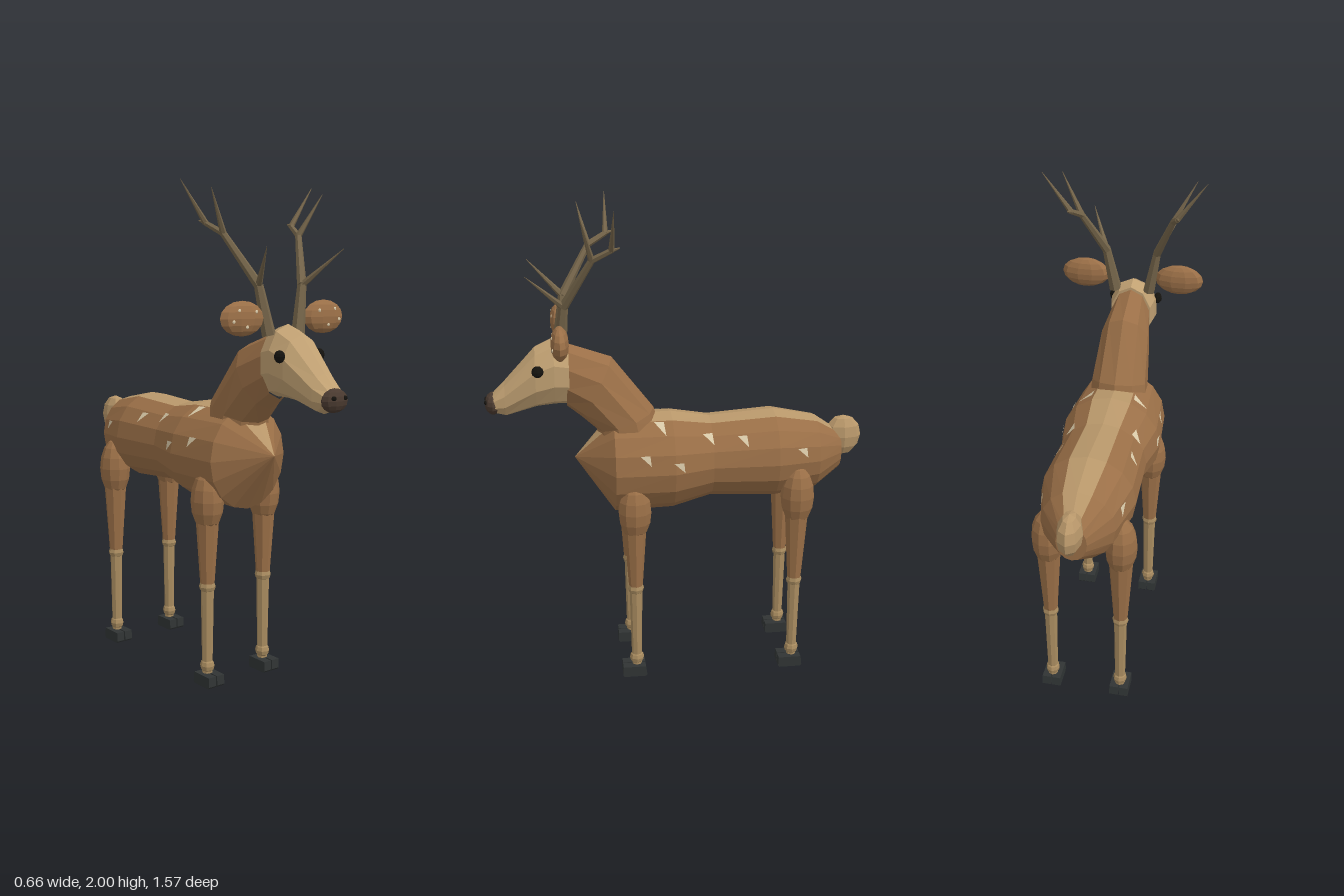
import * as THREE from 'three';

const mat = (color, side = THREE.FrontSide) => new THREE.MeshStandardMaterial({ color, side, flatShading: true });
const BROWN = mat(0x9a6f47), TAN = mat(0xb8976a), FACE = mat(0xc0a072), LEG = mat(0xa98c60), ANTLER = mat(0x75654a),
  HOOF = mat(0x303434), NOSE = mat(0x4a3a30), BLACK = mat(0x15130f), SPOT = mat(0xd8c9a8, THREE.DoubleSide);

// Each ring is [topZ, topY, bottomZ, bottomY, halfWidth]
function ringPoint([tz, ty, bz, by, w], a) {
  const c = Math.cos(a);
  return [w * Math.sin(a), (ty + by) / 2 + c * (ty - by) / 2, (tz + bz) / 2 + c * (tz - bz) / 2];
}

// Faceted skin through the rings, back to front, over sides k0..k1 of n
function loft(rings, n, k0 = 0, k1 = n) {
  const pos = [];
  for (let i = 0; i < rings.length - 1; i++) {
    for (let k = k0; k < k1; k++) {
      const p = (r, j) => ringPoint(rings[r], (j / n) * Math.PI * 2);
      const a = p(i, k), b = p(i, k + 1), c = p(i + 1, k + 1), d = p(i + 1, k);
      if (rings[i + 1][4] > 0) pos.push(...a, ...d, ...c);
      else pos.push(...a, ...d, ...b);
      if (rings[i][4] > 0 && rings[i + 1][4] > 0) pos.push(...a, ...c, ...b);
    }
  }
  const g = new THREE.BufferGeometry();
  g.setAttribute('position', new THREE.Float32BufferAttribute(pos, 3));
  g.computeVertexNormals();
  return g;
}

function add(parent, name, geometry, material, x = 0, y = 0, z = 0) {
  const m = new THREE.Mesh(geometry, material);
  m.name = name;
  m.position.set(x, y, z);
  parent.add(m);
  return m;
}

function ellipsoid(parent, name, material, [x, y, z], [rx, ry, rz], w = 10, h = 8) {
  return add(parent, name, new THREE.SphereGeometry(1, w, h).scale(rx, ry, rz), material, x, y, z);
}

// Tapered rod between two points
function rod(parent, name, material, from, to, r0, r1, sides = 6) {
  const a = new THREE.Vector3(...from), b = new THREE.Vector3(...to), d = b.clone().sub(a);
  const m = add(parent, name, new THREE.CylinderGeometry(r1, r0, d.length(), sides), material);
  m.position.copy(a).add(b).multiplyScalar(0.5);
  m.quaternion.setFromUnitVectors(new THREE.Vector3(0, 1, 0), d.normalize());
  return m;
}

function group(parent, name) {
  const g = new THREE.Group();
  g.name = name;
  parent.add(g);
  return g;
}

const BODY = [
  [-0.69, 0.94, -0.69, 0.94, 0], [-0.69, 1.03, -0.69, 0.87, 0.06], [-0.58, 1.105, -0.58, 0.79, 0.145],
  [-0.4, 1.14, -0.4, 0.765, 0.19], [-0.13, 1.12, -0.13, 0.78, 0.18], [0.03, 1.145, 0.03, 0.735, 0.21],
  [0.27, 1.14, 0.27, 0.725, 0.19], [0.43, 0.96, 0.43, 0.96, 0],
];

// Small pale triangle lying on the flank
function spot(parent, s, z, y) {
  const at = (zz, yy) => {
    const i = BODY.findIndex((r, j) => j > 0 && r[0] > zz);
    const t = (zz - BODY[i - 1][0]) / (BODY[i][0] - BODY[i - 1][0]);
    const [, top, , bottom, w] = BODY[i].map((v, j) => BODY[i - 1][j] + (v - BODY[i - 1][j]) * t);
    const c = Math.min(1, (yy - (top + bottom) / 2) / ((top - bottom) / 2));
    return [s * (w * Math.sqrt(1 - c * c) + 0.002), yy + 0.002, zz];
  };
  const g = new THREE.BufferGeometry();
  const tri = [...at(z + 0.022, y + 0.02), ...at(z - 0.022, y - 0.02), ...at(z - 0.018, y + 0.02)];
  g.setAttribute('position', new THREE.Float32BufferAttribute(tri, 3));
  g.computeVertexNormals();
  add(parent, 'coatSpot', g, SPOT);
}

function leg(parent, name, s, z, thigh) {
  const g = group(parent, name), x = s * 0.147;
  ellipsoid(g, 'upperLeg', BROWN, [x, thigh[0], z], [0.066, thigh[1], 0.07]);
  rod(g, 'shank', BROWN, [x, 0.42, z], [x, 0.76, z], 0.029, 0.052, 8);
  ellipsoid(g, 'knee', LEG, [x, 0.412, z], [0.034, 0.03, 0.034], 8, 6);
  rod(g, 'lowerLeg', LEG, [x, 0.05, z], [x, 0.41, z], 0.021, 0.027, 8);
  ellipsoid(g, 'ankle', LEG, [x, 0.08, z], [0.029, 0.032, 0.031], 8, 6);
  for (const o of [-1, 1]) {
    // Cloven toe with bevelled outline
    const shape = new THREE.Shape([[-0.045, 0], [0.045, 0], [0.052, 0.008], [0.05, 0.047], [-0.047, 0.047], [-0.052, 0.008]]
      .map(([a, b]) => new THREE.Vector2(a, b)));
    const toe = new THREE.ExtrudeGeometry(shape, { depth: 0.036, bevelEnabled: false });
    toe.translate(0, 0.003, -0.018).rotateY(-Math.PI / 2);
    add(g, 'hoof', toe, HOOF, x + o * 0.021, 0, z + 0.011);
  }
}

function antler(parent, s) {
  const g = group(parent, s > 0 ? 'leftAntler' : 'rightAntler');
  const p = (x, y, z) => [s * x, y, z];
  const base = p(0.073, 1.43, 0.475), low = p(0.108, 1.615, 0.455), fork = p(0.188, 1.805, 0.345), back = p(0.215, 1.845, 0.272);
  rod(g, 'beam', ANTLER, base, low, 0.027, 0.018);
  rod(g, 'beam', ANTLER, low, fork, 0.019, 0.013);
  rod(g, 'beam', ANTLER, fork, back, 0.013, 0.011);
  rod(g, 'browTine', ANTLER, low, p(0.19, 1.75, 0.595), 0.014, 0.001);
  rod(g, 'forkTine', ANTLER, fork, p(0.275, 1.965, 0.385), 0.013, 0.001);
  rod(g, 'topTine', ANTLER, back, p(0.328, 2, 0.267), 0.012, 0.001);
  rod(g, 'spur', ANTLER, back, p(0.222, 1.855, 0.24), 0.01, 0.002);
}

export function createModel() {
  const deer = new THREE.Group();
  deer.name = 'deer';

  // Trunk, with a paler strip along the back
  add(deer, 'body', loft(BODY, 16, 1, 15), BROWN);
  add(deer, 'backStripe', loft(BODY, 16, -1, 1), TAN);
  ellipsoid(deer, 'tail', TAN, [0, 1.01, -0.705], [0.05, 0.088, 0.08], 8, 6);
  for (const s of [-1, 1]) {
    for (const [z, y] of [[0.15, 0.995], [0.015, 0.965], [0.085, 1.105], [-0.11, 1.06], [-0.25, 1.05], [-0.5, 0.99]]) spot(deer, s, z, y);
  }

  // Neck rises forward out of the shoulders
  add(deer, 'neck', loft([
    [0.09, 1.13, 0.32, 0.98, 0.125], [0.1, 1.165, 0.335, 1.08, 0.12],
    [0.27, 1.385, 0.4, 1.14, 0.105], [0.445, 1.445, 0.455, 1.185, 0.085],
  ], 10), BROWN);

  // Head and muzzle
  add(deer, 'head', loft([
    [0.442, 1.32, 0.442, 1.32, 0], [0.442, 1.455, 0.442, 1.195, 0.09], [0.5, 1.472, 0.5, 1.195, 0.1],
    [0.575, 1.435, 0.575, 1.187, 0.098], [0.7, 1.3, 0.7, 1.152, 0.068], [0.755, 1.245, 0.755, 1.17, 0.052], [0.755, 1.2, 0.755, 1.2, 0],
  ], 10), FACE);
  ellipsoid(deer, 'nose', NOSE, [0, 1.206, 0.75], [0.061, 0.045, 0.034]);

  for (const s of [-1, 1]) {
    ellipsoid(deer, 'nostril', BLACK, [s * 0.027, 1.217, 0.777], [0.012, 0.009, 0.009], 6, 5);
    ellipsoid(deer, 'eye', BLACK, [s * 0.099, 1.357, 0.565], [0.018, 0.024, 0.024], 8, 6);

    // Ear with small pale flecks
    const ear = group(deer, s > 0 ? 'leftEar' : 'rightEar');
    ellipsoid(ear, 'earLobe', BROWN, [s * 0.203, 1.495, 0.475], [0.103, 0.065, 0.036], 10, 8);
    for (const [x, y] of [[-0.045, 0.025], [0, -0.03], [0.035, 0.03], [0.06, -0.01]]) {
      const z = 0.036 * Math.sqrt(1 - (x / 0.103) ** 2 - (y / 0.065) ** 2);
      ellipsoid(ear, 'earFleck', SPOT, [s * (0.203 + x), 1.495 + y, 0.474 + z], [0.007, 0.007, 0.003], 5, 4);
    }

    antler(deer, s);
    leg(deer, s > 0 ? 'frontLeftLeg' : 'frontRightLeg', s, 0.195, [0.765, 0.125]);
    leg(deer, s > 0 ? 'hindLeftLeg' : 'hindRightLeg', s, -0.485, [0.8, 0.13]);
  }
  return deer;
}
